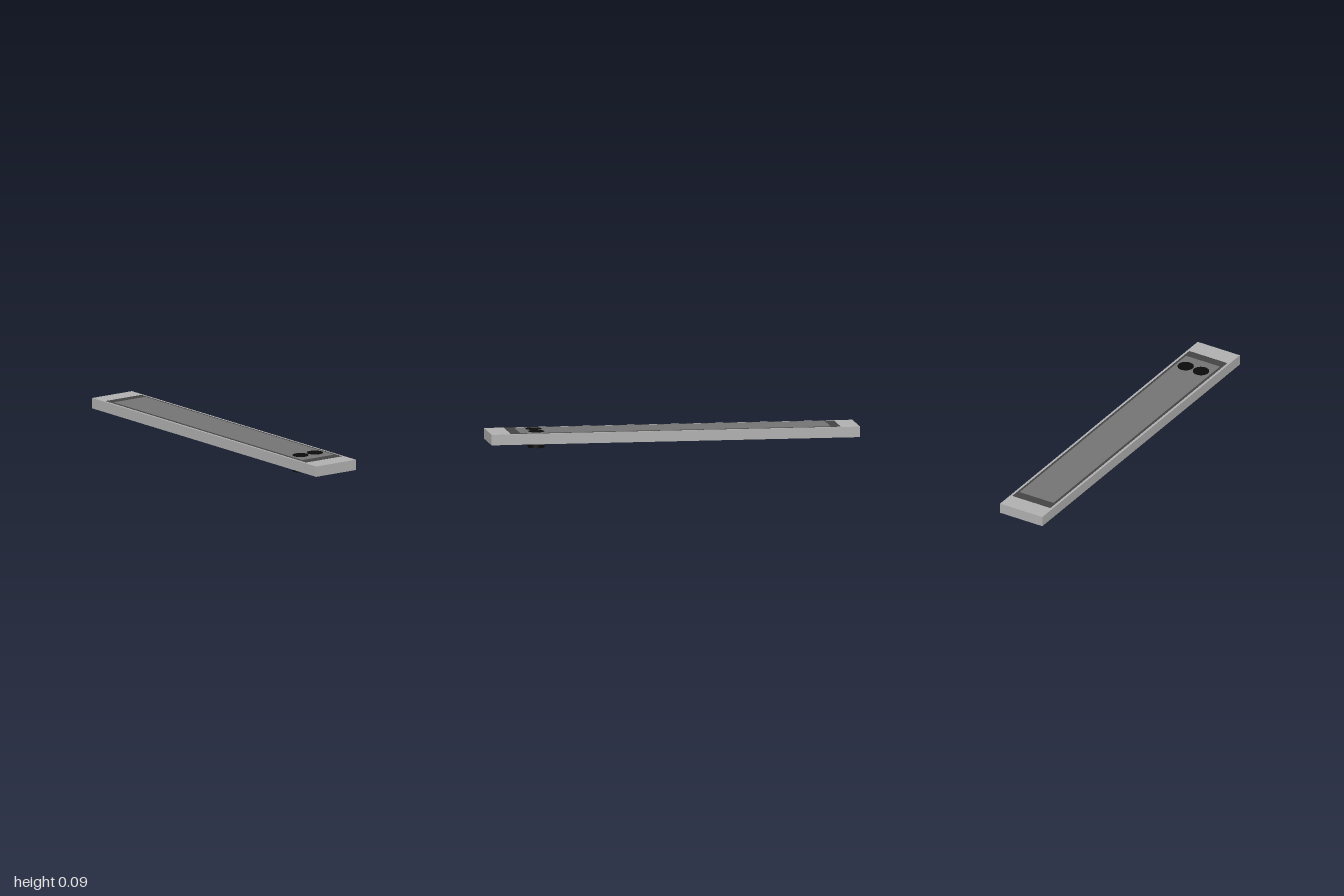
import * as THREE from 'three';

const material = (name, color) => {
  const m = new THREE.MeshStandardMaterial({ color });
  m.name = name;
  return m;
};

export function createModel() {
  const model = new THREE.Group();
  model.name = 'plank';
  const lightGrey = material('light grey', 0xb0b0b0);
  const darkGrey = material('dark grey', 0x444444);
  const midGrey = material('mid grey', 0x747474);
  const black = material('black', 0x0a0a0a);

  const add = (name, geometry, mat, x, y, z) => {
    const mesh = new THREE.Mesh(geometry, mat);
    mesh.name = name;
    mesh.position.set(x, y, z);
    model.add(mesh);
  };
  // Box given by its width, length, bottom and top
  const slab = (name, mat, width, length, bottom, top, z = 0) =>
    add(name, new THREE.BoxGeometry(width, top - bottom, length), mat, 0, (bottom + top) / 2, z);

  // Long body with a dark border and an inner panel on top
  slab('body', lightGrey, 0.267, 2, 0.027, 0.084);
  slab('border', darkGrey, 0.24, 1.79, 0.08, 0.085, -0.002);
  slab('innerPanel', midGrey, 0.214, 1.684, 0.081, 0.086, -0.002);

  // Two round pegs passing through the body near the front
  const peg = new THREE.CylinderGeometry(0.0435, 0.0435, 0.088, 32);
  add('rightPeg', peg, black, -0.0465, 0.044, 0.745);
  add('leftPeg', peg, black, 0.05, 0.044, 0.745);

  return model;
}
